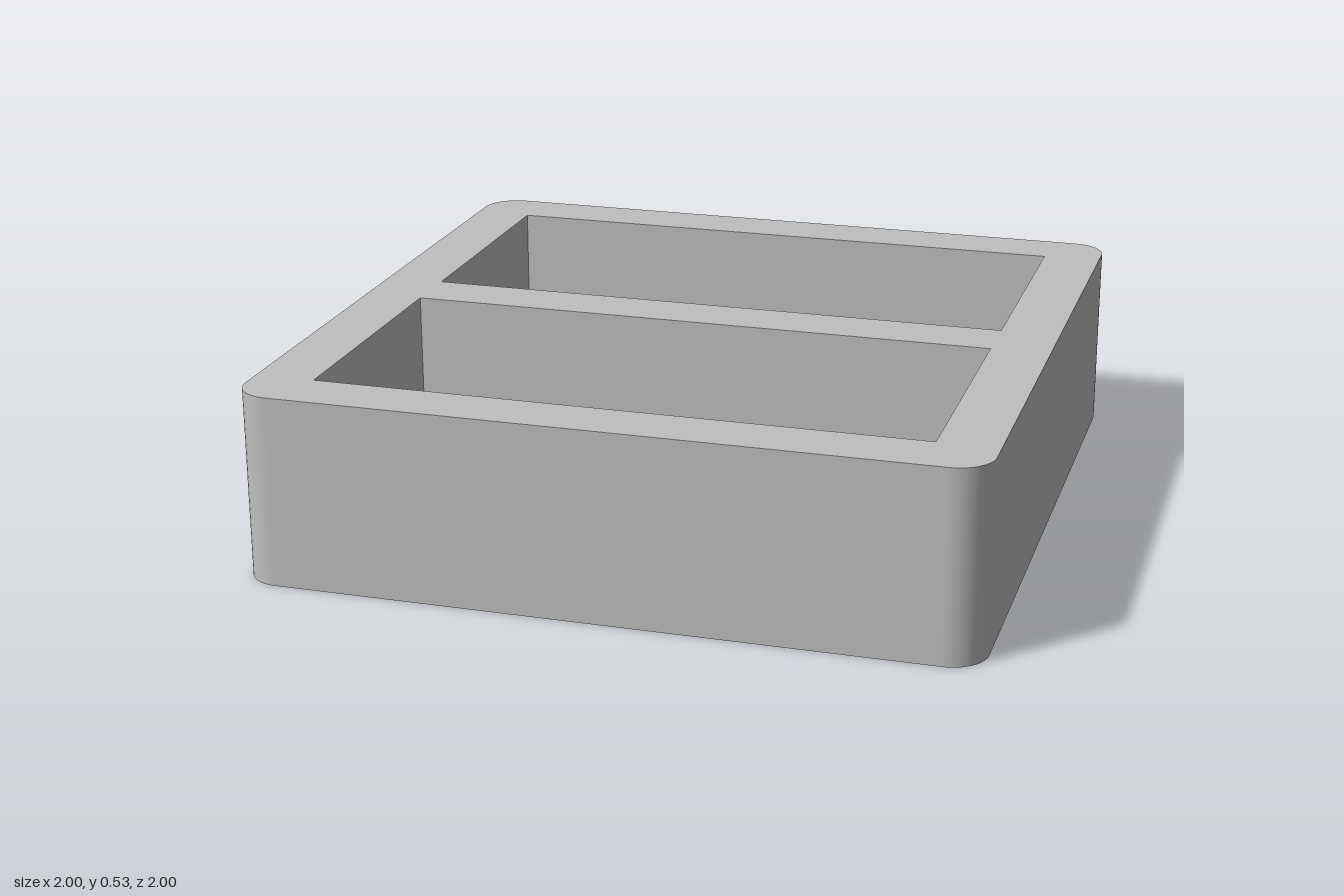
import * as THREE from 'three';

const HEIGHT = 0.53, RADIUS = 0.1, FLOOR = 0.067;
const POCKET = { width: 1.67, depth: 0.752, z: 0.459 };

// Rounded-square outline with exact outward directions
function outline(segments = 12) {
  const points = [];
  for (let corner = 0; corner < 4; corner++) {
    const mid = (corner + 0.5) * Math.PI / 2;
    const cx = Math.sign(Math.cos(mid)) * (1 - RADIUS);
    const cy = Math.sign(Math.sin(mid)) * (1 - RADIUS);
    for (let i = 0; i <= segments; i++) {
      const a = (corner + i / segments) * Math.PI / 2;
      const nx = Math.cos(a), ny = Math.sin(a);
      points.push({ x: cx + nx * RADIUS, y: cy + ny * RADIUS, nx, ny });
    }
  }
  return points;
}

// Smooth outer wall swept around the outline
function wallGeometry(points) {
  const position = [], normal = [], index = [];
  const n = points.length;
  points.forEach((p, i) => {
    position.push(p.x, 0, -p.y, p.x, HEIGHT, -p.y);
    normal.push(p.nx, 0, -p.ny, p.nx, 0, -p.ny);
    const a = 2 * i, b = 2 * ((i + 1) % n);
    index.push(a, b, b + 1, a, b + 1, a + 1);
  });
  const g = new THREE.BufferGeometry();
  g.setAttribute('position', new THREE.Float32BufferAttribute(position, 3));
  g.setAttribute('normal', new THREE.Float32BufferAttribute(normal, 3));
  g.setIndex(index);
  return g;
}

// Box without its top, turned to face inward
function pocketGeometry() {
  const h = HEIGHT - FLOOR;
  const g = new THREE.BoxGeometry(POCKET.width, h, POCKET.depth);
  const index = Array.from(g.index.array);
  index.splice(12, 6);
  g.setIndex(index.reverse());
  g.clearGroups();
  g.computeVertexNormals();
  return g.translate(0, FLOOR + h / 2, 0);
}

export function createModel() {
  const model = new THREE.Group();
  model.name = 'twoPocketTray';
  const grey = new THREE.MeshStandardMaterial({ color: 0xbfbfbf });
  grey.name = 'grey';

  const add = (name, geometry) => {
    const mesh = new THREE.Mesh(geometry, grey);
    mesh.name = name;
    model.add(mesh);
    return mesh;
  };

  const points = outline();
  const flat = points.map(p => new THREE.Vector2(p.x, p.y));
  add('outerWall', wallGeometry(points));
  add('base', new THREE.ShapeGeometry(new THREE.Shape(flat)).rotateX(Math.PI / 2));

  // Rim and divider top, with one opening per pocket
  const rim = new THREE.Shape(flat);
  const w = POCKET.width / 2, d = POCKET.depth / 2;
  for (const side of [-1, 1]) {
    const z = side * POCKET.z;
    rim.holes.push(new THREE.Path([
      new THREE.Vector2(-w, -z - d), new THREE.Vector2(-w, -z + d),
      new THREE.Vector2(w, -z + d), new THREE.Vector2(w, -z - d),
    ]));
    add(side > 0 ? 'frontPocket' : 'backPocket', pocketGeometry()).position.z = z;
  }
  add('rim', new THREE.ShapeGeometry(rim).rotateX(-Math.PI / 2).translate(0, HEIGHT, 0));

  return model;
}
